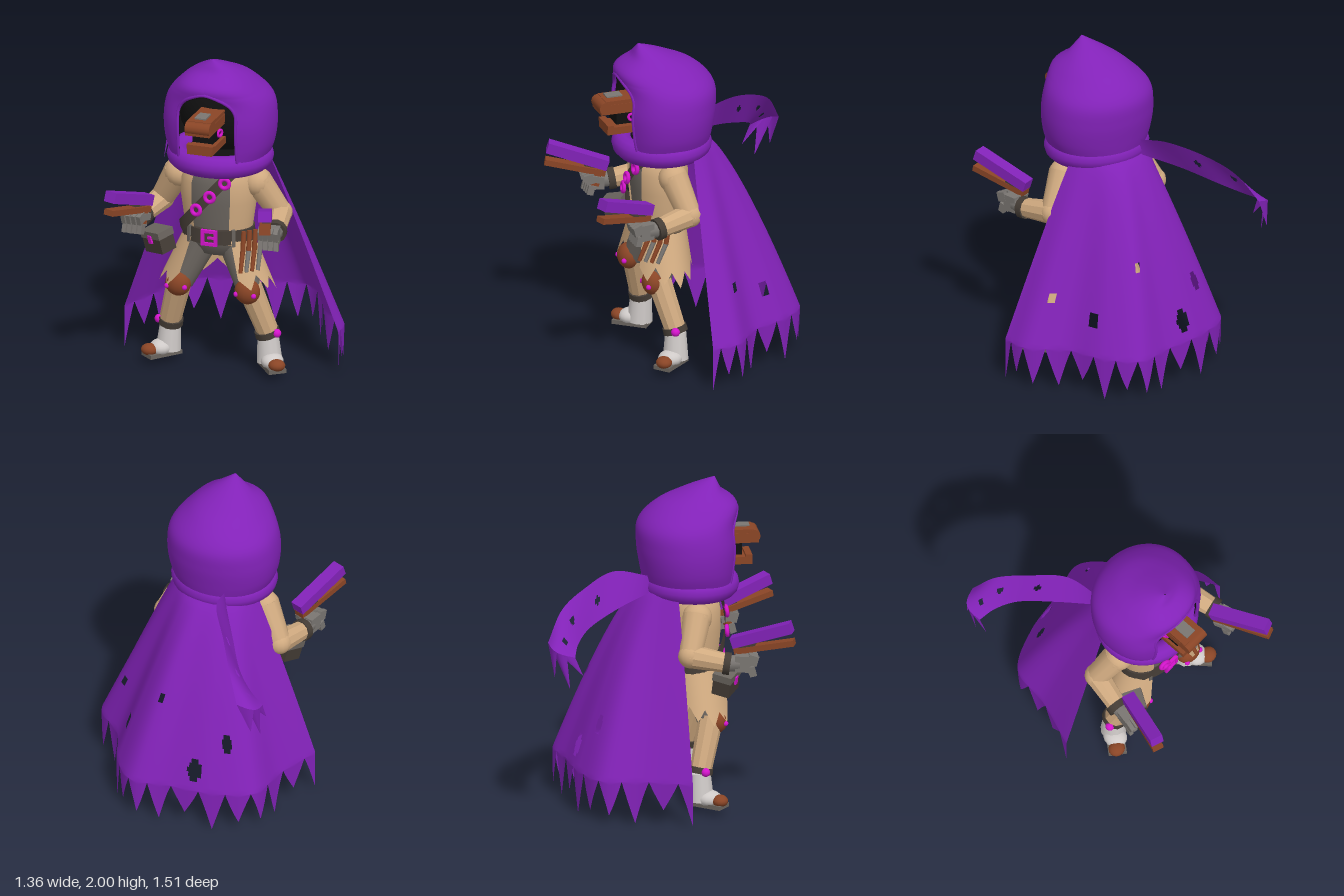
import * as THREE from 'three';

const V = (x, y, z) => new THREE.Vector3(x, y, z);
const mat = (name, color, side = THREE.DoubleSide) => {
  const m = new THREE.MeshStandardMaterial({ color, side });
  m.name = name;
  return m;
};

export function createModel() {
  const purple = mat('purple cloth', 0x8222b8), beige = mat('beige coat', 0xd0aa80);
  const grey = mat('grey cloth', 0x6a645e), dark = mat('dark leather', 0x453d36);
  const brown = mat('brown leather', 0x8a4526), black = mat('black', 0x101010);
  const white = mat('pale boot', 0xcfcac8), magenta = mat('magenta trim', 0xd414cc);
  const steel = mat('glove grey', 0x7a7672);

  const root = new THREE.Group();
  const body = new THREE.Group();
  body.name = 'body';
  body.position.x = -0.045;
  root.add(body);

  const add = (name, geo, m, parent = body, p = [0, 0, 0], r = [0, 0, 0], s = [1, 1, 1]) => {
    const mesh = new THREE.Mesh(geo, m);
    mesh.name = name;
    mesh.position.set(...p);
    mesh.rotation.set(r[0], r[1], r[2], 'YXZ');
    mesh.scale.set(...s);
    parent.add(mesh);
    return mesh;
  };
  const box = (name, size, m, p, r, parent) => add(name, new THREE.BoxGeometry(...size), m, parent, p, r);
  const ball = (name, p, s, m) => add(name, new THREE.SphereGeometry(1, 16, 12), m, body, p, [0, 0, 0], s);
  const faceted = g => { const n = g.toNonIndexed(); n.computeVertexNormals(); return n; };
  // Tapered cylinder between two points
  const limb = (name, a, b, r1, r2, m, sides = 12, flat = false) => {
    const A = V(...a), B = V(...b), d = B.clone().sub(A);
    let g = new THREE.CylinderGeometry(r2, r1, d.length(), sides);
    if (flat) g = faceted(g);
    const mesh = add(name, g, m);
    mesh.position.copy(A).add(B).multiplyScalar(0.5);
    mesh.quaternion.setFromUnitVectors(V(0, 1, 0), d.normalize());
  };
  // Grid surface from a function of u and v, leaving out cells inside holes
  const sheet = (nu, nv, fn, holes = []) => {
    const pos = [], idx = [];
    for (let j = 0; j <= nv; j++) for (let i = 0; i <= nu; i++) pos.push(...fn(i / nu, j / nv).toArray());
    for (let j = 0; j < nv; j++) for (let i = 0; i < nu; i++) {
      const u = (i + 0.5) / nu, v = (j + 0.5) / nv;
      if (holes.some(([a, b, ru, rv]) => ((u - a) / ru) ** 2 + ((v - b) / rv) ** 2 < 1)) continue;
      const a = j * (nu + 1) + i, c = a + nu + 1;
      idx.push(a, c, a + 1, a + 1, c, c + 1);
    }
    const g = new THREE.BufferGeometry();
    g.setAttribute('position', new THREE.Float32BufferAttribute(pos, 3));
    g.setIndex(idx);
    g.computeVertexNormals();
    return g;
  };
  const spline = pts => new THREE.CatmullRomCurve3(pts.map(p => V(...p)));
  const zigzag = t => 1 - Math.abs(2 * (t - Math.floor(t)) - 1);

  // Hood: oval rings, squarer in front, gathered to a forward peak, with an arched face opening
  const rings = [[1.36, .17, .295, .27], [1.46, .165, .33, .285], [1.6, .16, .342, .30], [1.73, .16, .318, .292],
    [1.84, .215, .228, .25], [1.92, .25, .13, .125], [1.965, .29, .06, .06], [2, .33, .003, .003]];
  const radii = spline(rings.map(([y, , rx, rz]) => [rx, y, rz]));
  const centres = spline(rings.map(([y, zc]) => [0, y, zc]));
  const hood = k => (u, t) => {
    const r = radii.getPoint(t), c = centres.getPoint(t);
    const w = r.y < 1.66 ? 0.178 : 0.178 * Math.sqrt(Math.max(0, 1 - ((r.y - 1.66) / 0.147) ** 2));
    const f = Math.asin(Math.min(1, w / r.x)), a = f + (2 * Math.PI - 2 * f) * u;
    const q = k * (Math.cos(a) > 0 ? 1 + .06 * Math.sin(2 * a) ** 2 : 1);
    return V(Math.sin(a) * r.x * q, r.y - (1 - k) * 0.4, c.z + Math.cos(a) * r.z * q);
  };
  add('hood', sheet(48, 44, hood(1)), purple);
  add('hoodLining', sheet(32, 30, hood(0.95)), black);
  const edge = [];
  for (let i = 0; i <= 14; i++) edge.push(hood(0.99)(0, 0.535 * i / 14));
  for (let i = 13; i >= 0; i--) edge.push(hood(0.99)(1, 0.535 * i / 14));
  add('hoodRim', new THREE.TubeGeometry(new THREE.CatmullRomCurve3(edge), 56, 0.01, 6), purple);
  add('hoodCollar', new THREE.TorusGeometry(0.255, 0.07, 12, 36), purple, body, [0, 1.35, .18], [Math.PI / 2 + 0.03, 0, 0], [1, .92, 1]);
  add('hoodFloor', new THREE.CylinderGeometry(.255, .255, .02, 32), black, body, [0, 1.375, .18], [0, 0, 0], [1, 1, .92]);

  // Shadowed head with a hinged wooden muzzle
  ball('head', [0, 1.6, .13], [.27, .24, .2], black);
  box('upperJaw', [.155, .06, .3], brown, [0, 1.625, .44]);
  const nose = new THREE.CylinderGeometry(.04, .04, .155, 12);
  nose.rotateZ(Math.PI / 2);
  add('noseTip', nose, brown, body, [0, 1.635, .56]);
  box('noseBridge', [.15, .04, .26], brown, [0, 1.658, .43]);
  box('nosePlate', [.07, .008, .1], steel, [0, 1.69, .49]);
  box('mouth', [.13, .08, .2], black, [0, 1.56, .39]);
  box('lowerJaw', [.155, .045, .25], brown, [0, 1.485, .425]);
  box('lowerLip', [.165, .025, .04], brown, [0, 1.51, .53]);
  for (const s of [-1, 1]) add('eye', new THREE.TorusGeometry(.02, .009, 8, 14), magenta, body, [s * .074, 1.56, .395], [0, s * 1.25, 0]);

  // Torso: shirt with an open coat over it
  const profile = d => [[.05, 1.32], [.19, 1.3], [.225, 1.2], [.225, 1.08], [.2, .9], [.19, .82]].map(([r, y]) => new THREE.Vector2(r + d, y));
  const shirtProfile = [new THREE.Vector2(.001, .72), new THREE.Vector2(.13, .74), ...profile(-.008).reverse()];
  add('shirt', new THREE.LatheGeometry(shirtProfile, 32), grey, body, [0, 0, .205], [0, 0, 0], [1, 1, .74]);
  add('coat', new THREE.LatheGeometry(profile(.008).reverse(), 32, .55, 2 * Math.PI - 1.1), beige, body, [0, 0, .205], [0, 0, 0], [1, 1, .74]);
  add('coatSkirt', sheet(88, 6, (u, v) => {
    const a = .62 + (2 * Math.PI - 1.24) * u;
    const drop = v * (.25 + .08 * zigzag(u * 11) - .02 * Math.sin(u * 19));
    return V(Math.sin(a) * (.205 + drop * .46), .88 - drop, .21 + drop * .05 + Math.cos(a) * (.16 + drop * .16));
  }), beige);

  // Belt, buckle and chest strap
  add('belt', new THREE.CylinderGeometry(.222, .226, .09, 32), dark, body, [0, .875, .205], [0, 0, 0], [1, 1, .75]);
  for (const [x, y, w, h] of [[0, .04, .1, .019], [0, -.04, .1, .019], [.041, 0, .019, .08], [-.041, 0, .019, .08]])
    box('buckle', [w, h, .02], magenta, [x, .875 + y, .378]);
  box('bucklePin', [.05, .014, .014], magenta, [.015, .875, .378]);
  for (const s of [-1, 1]) box('beltLoop', [.02, .105, .02], grey, [s * .14, .875, .338], [0, s * .5, 0]);
  const chest = (x, y) => V(x, y, .222 + .172 * Math.sqrt(Math.max(0, 1 - (x / .24) ** 2)) * (y > 1.2 ? 1 - (y - 1.2) * 1.2 : 1));
  add('chestStrap', sheet(16, 2, (u, v) => {
    const k = (v - .5) * .065;
    return chest(.15 - .36 * u - k * .75, 1.31 - .41 * u + k * .66);
  }), dark);
  for (const [x, y] of [[.1, 1.235], [.012, 1.145], [-.077, 1.05]])
    add('strapRing', new THREE.TorusGeometry(.028, .013, 8, 18), magenta, body, chest(x, y).add(V(0, 0, .012)).toArray(), [-.1, x * 1.5, 0]);

  // Hip pouch and row of belt holders
  const pouch = new THREE.Group();
  pouch.name = 'hipPouch';
  pouch.position.set(-.33, .82, .355);
  pouch.rotation.set(.2, -.5, .25);
  body.add(pouch);
  box('pouchBag', [.16, .12, .11], dark, [0, -.01, 0], undefined, pouch);
  box('pouchFlap', [.17, .045, .12], grey, [0, .045, 0], undefined, pouch);
  box('pouchClasp', [.03, .05, .012], magenta, [0, .02, .063], undefined, pouch);
  for (let i = 0; i < 4; i++) {
    const x = .2 + i * .026, z = .34 - i * .03;
    limb('beltHolder', [x, .92, z - .02], [x, .8, z], .016, .016, brown, 8);
    limb('beltHolderEnd', [x, .8, z], [x + .005, .68, z + .055], .015, .012, i % 2 ? steel : brown, 8);
  }

  for (const s of [-1, 1]) {
    // Legs
    limb('thigh', [s * .09, .82, .2], [s * .215, .54, .27], .1, .075, grey);
    limb('shin', [s * .22, .56, .28], [s * .31, .26, .205], .076, .066, beige, 10, true);
    ball('kneePad', [s * .22, .54, .315], [.08, .08, .065], brown);
    limb('kneeFlap', [s * .22, .55, .32], [s * .227, .465, .325], .05, .015, brown, 6);
    for (const k of [-1, 1]) ball('kneeStud', [s * .22 + k * .056, .53, .36], [.016, .016, .016], magenta);
    limb('ankleBand', [s * .31, .235, .2], [s * .302, .272, .208], .077, .075, dark);
    ball('ankleStud', [s * .375, .26, .225], [.027, .027, .027], magenta);
    limb('boot', [s * .322, .07, .205], [s * .31, .24, .2], .078, .064, white);
    ball('instep', [s * .355, .09, .25], [.068, .05, .075], white);
    ball('bootToe', [s * .405, .088, .308], [.052, .036, .048], brown);
    box('sole', [.11, .026, .22], grey, [s * .35, .055, .245], [0, s * .68, 0]);

    // Arms
    const x = v => s * v - .012;
    ball('shoulder', [x(.25), 1.2, .19], [.09, .09, .09], beige);
    limb('upperArm', [x(.25), 1.21, .19], [x(.375), 1.0, .13], .088, .07, beige);
    ball('elbow', [x(.375), 1.0, .13], [.074, .074, .074], beige);
    limb('forearm', [x(.375), 1.0, .13], [x(.425), .96, .35], .073, .058, beige, 10, true);
    limb('wristBand', [x(.42), .963, .325], [x(.428), .957, .365], .068, .068, dark);

    // Gloved fists
    limb('gloveCuff', [x(.425), .96, .36], [x(.43), .96, .42], .05, .05, steel, 10);
    box('palm', [.1, .1, .09], steel, [x(.43), .965, .44], [0, s * .2, 0]);
    for (let i = 0; i < 4; i++) {
      const fx = x(.43 + (i - 1.5) * .033);
      box('finger', [.027, .06, .06], steel, [fx, .99, .495], [.3, s * .2, 0]);
      box('fingertip', [.027, .06, .04], steel, [fx, .92, .49], [-.25, s * .2, 0]);
    }
    box('thumb', [.03, .04, .09], steel, [x(.37), .99, .46], [-.2, s * .3, 0]);

    // Pistols
    const aim = p => [-p, s * .34, 0];
    box('pistolSlide', [.08, .066, .38], purple, [x(.432), 1.135, .555], aim(.31));
    box('pistolFrame', [.068, .036, .37], brown, [x(.437), 1.062, .57], aim(.2));
    box('pistolSpacer', [.05, .05, .1], dark, [x(.41), 1.065, .47], aim(.25));
    box('pistolGrip', [.05, .11, .05], brown, [x(.39), 1.0, .45], aim(.2));
  }

  // Cape: hangs from inside the collar, flares to the hem, then ragged teeth drop straight down
  const hem = spline([[.68, 0, .11], [.655, 0, -.06], [.47, 0, -.23], [.36, 0, -.46], [.2, 0, -.61], [-.02, 0, -.57],
    [-.3, 0, -.53], [-.53, 0, -.42], [-.58, 0, -.17], [-.68, 0, .11]]);
  const neck = u => V(-.045 + .285 * Math.sin(1.2 - 2.4 * u), 0, .17 - .27 * Math.cos(1.2 - 2.4 * u));
  add('cape', sheet(210, 50, (u, v) => {
    const tooth = .2 * zigzag(u * 15 + .5) * (.82 + .18 * Math.sin(u * 37 + 1.6));
    const t = v < .8 ? v : .8 + (v - .8) * 5 * tooth;
    const flare = Math.min(1, t / .8), a = neck(u), b = hem.getPoint(u);
    return V(a.x + (b.x - a.x) * flare ** .95, 1.35 * (1 - t), a.z + (b.z - a.z) * flare ** .74);
  }, [[.62, .71, .019, .046], [.29, .65, .016, .036], [.15, .58, .012, .027], [.71, .58, .016, .036], [.46, .42, .014, .024]]), purple, root);

  // Scarf tail: twisted ribbon streaming back, curling over into a fork
  const upper = spline([[-.17, 1.43, -.08], [-.22, 1.485, -.3], [-.36, 1.43, -.5], [-.47, 1.34, -.65], [-.57, 1.17, -.75]]);
  const lower = spline([[-.18, 1.33, -.08], [-.33, 1.28, -.3], [-.47, 1.21, -.49], [-.58, 1.15, -.57], [-.67, 1.1, -.6]]);
  const ribbon = (u, v) => {
    const bulge = Math.sin(Math.PI * v) * u ** 4;
    return upper.getPoint(u).lerp(lower.getPoint(u), v).add(V(-.045 * bulge, 0, -.035 * bulge));
  };
  add('scarfTail', sheet(72, 16, ribbon, [[.4, .5, .022, .1], [.68, .45, .025, .1], [.87, .6, .022, .1]]), purple, root);
  for (const [f, g, tip] of [[0, .5, V(-.65, .97, -.72)], [.3, .8, V(-.67, .9, -.63)], [.6, 1, V(-.67, .98, -.55)]])
    add('scarfFork', sheet(4, 5, (u, v) => ribbon(1, f + (g - f) * u).lerp(tip, v * .97)), purple, root);

  return root;
}
